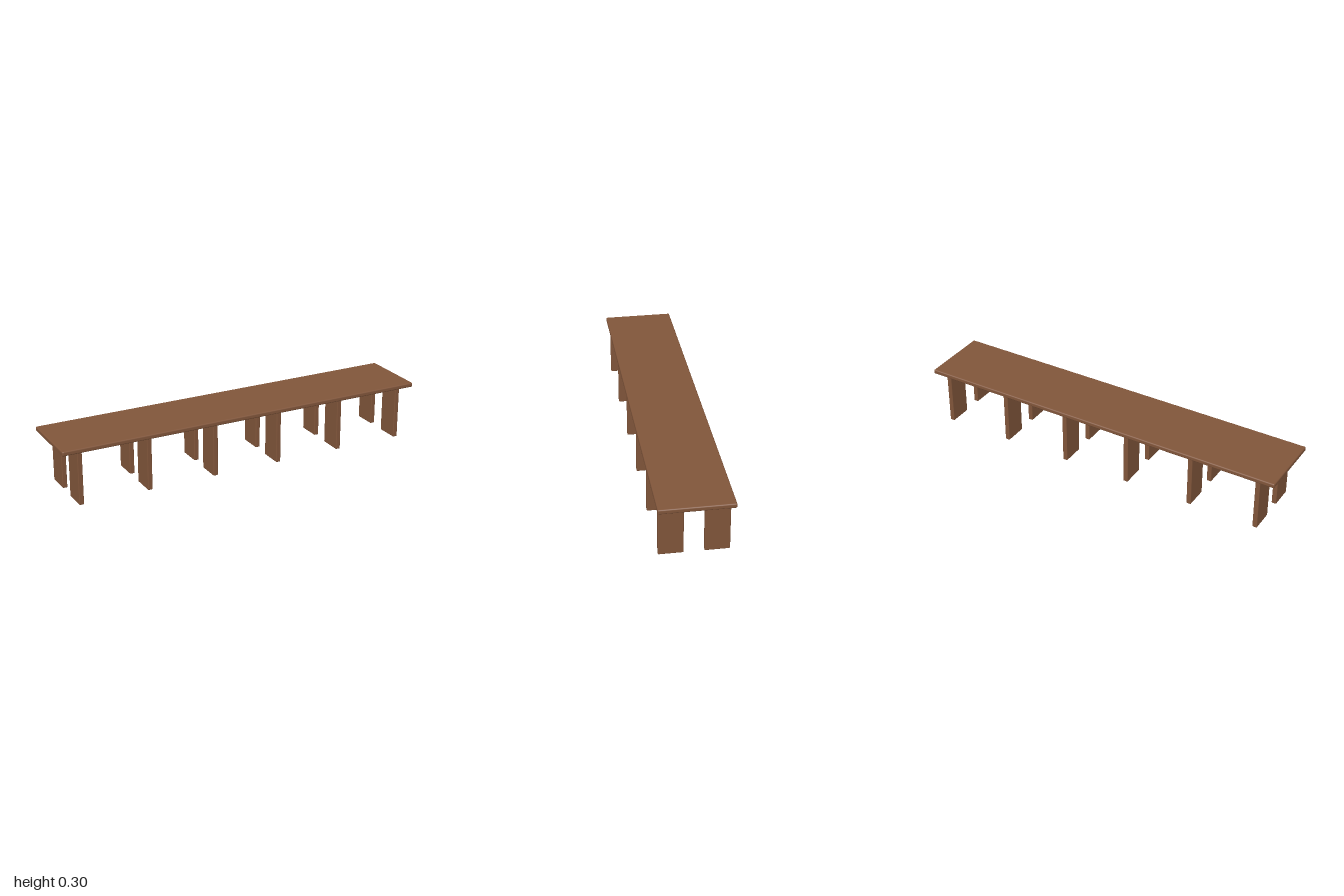
import * as THREE from 'three';
import { RoundedBoxGeometry } from 'three/addons/geometries/RoundedBoxGeometry.js';

const wood = new THREE.MeshStandardMaterial({ color: 0x80553a });

// Softly rounded plank spanning y0..y1, centred on x and z
function plank(name, width, depth, y0, y1, x, z, radius) {
  const mesh = new THREE.Mesh(new RoundedBoxGeometry(width, y1 - y0, depth, 3, radius), wood);
  mesh.name = name;
  mesh.position.set(x, (y0 + y1) / 2, z);
  return mesh;
}

export function createModel() {
  const model = new THREE.Group();
  model.name = 'longTable';

  // Table top
  model.add(plank('tableTop', 2, 0.365, 0.275, 0.299, 0, 0, 0.007));

  // Six pairs of slab legs, running just into the top
  const pairs = 6, spacing = 0.364;
  for (let i = 0; i < pairs; i++) {
    const x = (i - (pairs - 1) / 2) * spacing;
    model.add(plank('frontLeg', 0.025, 0.121, 0, 0.282, x, 0.11, 0.004));
    model.add(plank('backLeg', 0.025, 0.121, 0, 0.282, x, -0.11, 0.004));
  }
  return model;
}
